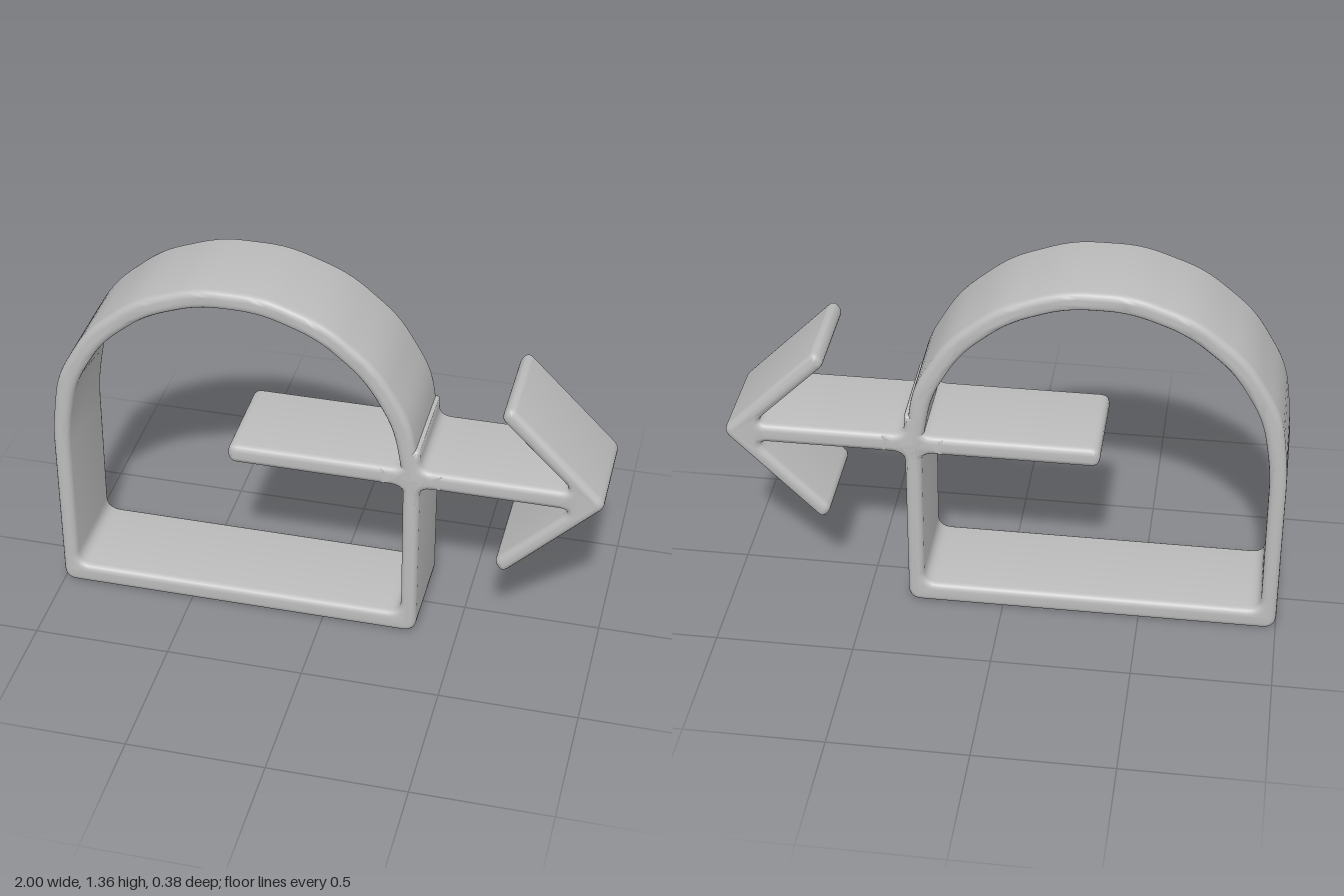
import * as THREE from 'three';
import { toCreasedNormals } from 'three/addons/utils/BufferGeometryUtils.js';

const HALF_DEPTH = 0.19;
const BEVEL = 0.024;
const ARCH_X = -0.325, ARCH_Y = 0.685; // centre of the arch
const SHAFT_Y = 0.692;

// Trace a closed polygon of [x, y, cornerRadius] with softened corners
function trace(path, points) {
  const n = points.length;
  points.forEach(([x, y, r], i) => {
    const toward = ([px, py]) => {
      const len = Math.hypot(px - x, py - y);
      const t = Math.min(r, len * 0.49) / len;
      return [x + (px - x) * t, y + (py - y) * t];
    };
    const a = toward(points[(i + n - 1) % n]);
    const b = toward(points[(i + 1) % n]);
    if (i === 0) path.moveTo(...a); else path.lineTo(...a);
    path.quadraticCurveTo(x, y, ...b);
  });
  path.closePath();
  return path;
}

// Extrude an outline along z with rounded rims
function band(name, shape, material) {
  const geometry = new THREE.ExtrudeGeometry(shape, {
    depth: 2 * (HALF_DEPTH - BEVEL), curveSegments: 5,
    bevelEnabled: true, bevelSize: BEVEL, bevelThickness: BEVEL,
    bevelOffset: -BEVEL, bevelSegments: 4,
  });
  geometry.translate(0, 0, -(HALF_DEPTH - BEVEL));
  const mesh = new THREE.Mesh(toCreasedNormals(geometry, 0.8), material);
  mesh.name = name;
  return mesh;
}

// Arched outline: flat base, straight sides, softly faceted arch with a flat top
function archOutline(halfWidth, apothem, base, cornerRadius) {
  const points = [
    [ARCH_X - halfWidth, base, cornerRadius],
    [ARCH_X + halfWidth, base, cornerRadius],
  ];
  const radius = apothem / Math.cos(Math.PI / 18);
  for (let i = 0; i <= 9; i++) {
    const a = (i * Math.PI) / 9;
    const dx = THREE.MathUtils.clamp(radius * Math.cos(a), -halfWidth, halfWidth);
    points.push([ARCH_X + dx, ARCH_Y + radius * Math.sin(a), 0.08]);
  }
  return points;
}

export function createModel() {
  const group = new THREE.Group();
  group.name = 'archWithArrow';
  const grey = new THREE.MeshStandardMaterial({ color: 0xbcbcbc });
  grey.name = 'grey';

  // Arched frame
  const frame = trace(new THREE.Shape(), archOutline(0.675, 0.675, 0, 0.05));
  frame.holes.push(trace(new THREE.Path(), archOutline(0.617, 0.605, 0.08, 0.05)));
  group.add(band('archFrame', frame, grey));

  // Arrow: upper half from tail to tip, mirrored about the shaft
  const upper = [
    [-0.345, 0.038, 0.035],
    [0.892, 0.038, 0.05],
    [0.622, 0.308, 0.03],
    [0.657, 0.358, 0.03],
  ];
  const lower = upper.map(([x, y, r]) => [x, -y, r]).reverse();
  const arrow = [...upper, [1.012, 0, 0.04], ...lower]
    .map(([x, y, r]) => [x, SHAFT_Y + y, r]);
  group.add(band('arrow', trace(new THREE.Shape(), arrow), grey));

  // Filleted cross where the shaft passes through the frame
  const px = 0.321, w = 0.029, h = 0.038, reach = 0.12;
  const f = 0.07, e = 0.01;
  const cross = [
    [w, h, f], [w, reach, e], [-w, reach, e], [-w, h, f],
    [-reach, h, e], [-reach, -h, e], [-w, -h, f], [-w, -reach, e],
    [w, -reach, e], [w, -h, f], [reach, -h, e], [reach, h, e],
  ].map(([x, y, r]) => [px + x, SHAFT_Y + y, r]);
  group.add(band('crossJoint', trace(new THREE.Shape(), cross), grey));

  return group;
}
